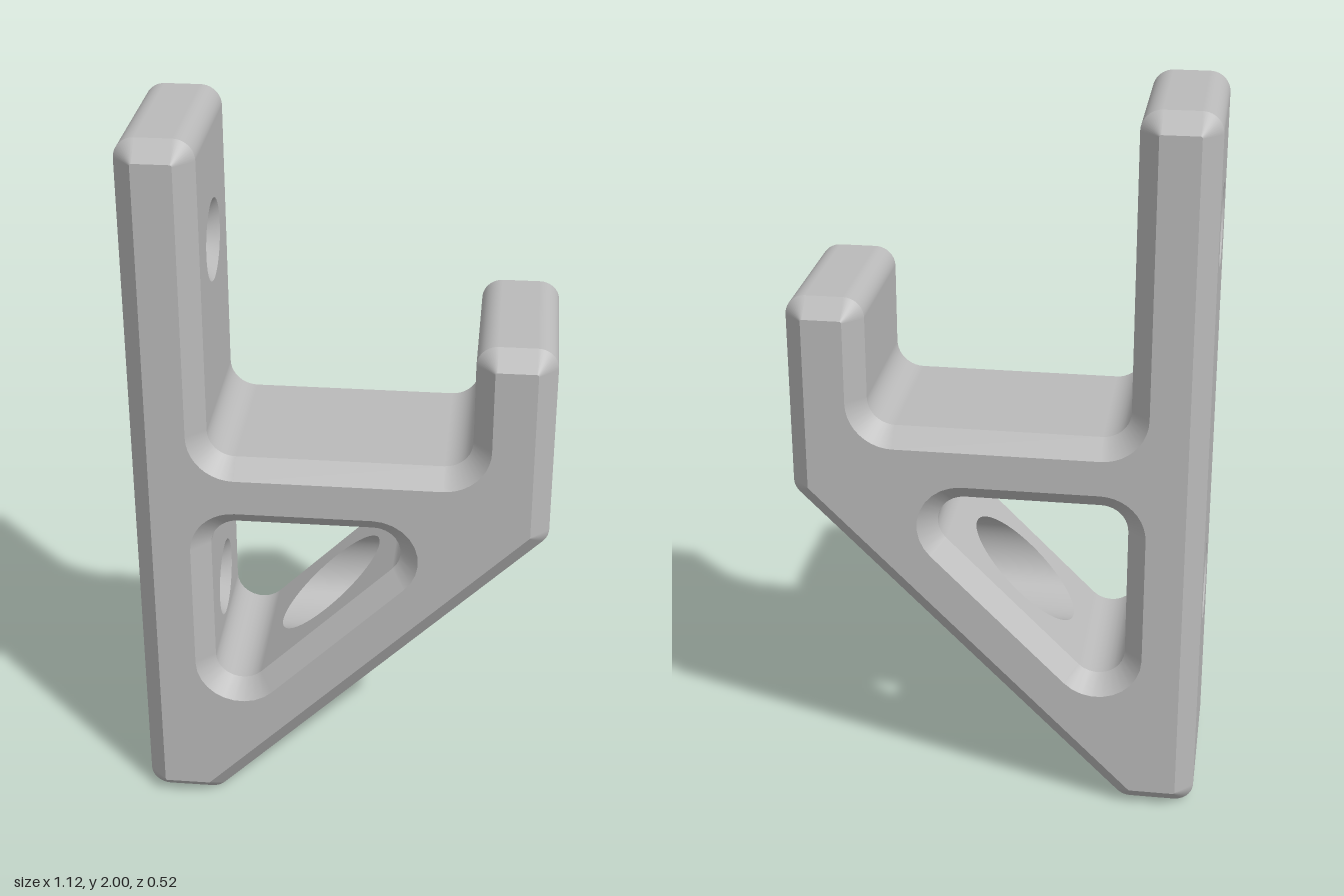
import * as THREE from 'three';

const W = 0.21;          // half width of the straight walls
const C = 0.05;          // edge chamfer
const ARC = 10, ROUND = 48;
const Z = new THREE.Vector3(0, 0, 1);

// Corners as [x, y, fillet radius]; material lies to the left of the direction of travel
const OUTLINE = [
  [-0.56, 0, 0.055], [-0.36, 0, 0.055], [0.56, 0.92, 0.055], [0.56, 1.475, 0.055], [0.35, 1.475, 0.055],
  [0.35, 1.12, 0.075], [-0.355, 1.12, 0.075], [-0.355, 2, 0.055], [-0.56, 2, 0.055],
];
const WINDOW = [[-0.355, 0.295, 0.075], [-0.355, 0.92, 0.075], [0.27, 0.92, 0.075]];

// Rounded contour: points with outward normals; the last point of each corner starts a straight wall
function contour(corners) {
  const v = corners.map(c => new THREE.Vector2(c[0], c[1]));
  const pts = [];
  v.forEach((p, i) => {
    const k = v.length;
    const d0 = p.clone().sub(v[(i + k - 1) % k]).normalize();
    const d1 = v[(i + 1) % k].clone().sub(p).normalize();
    const turn = Math.atan2(d0.cross(d1), d0.dot(d1));
    const r = corners[i][2] * Math.sign(turn);
    const n0 = new THREE.Vector2(d0.y, -d0.x);
    const centre = p.clone().addScaledVector(d0, -Math.abs(r * Math.tan(turn / 2))).addScaledVector(n0, -r);
    for (let j = 0; j <= ARC; j++) {
      const n = n0.clone().rotateAround(new THREE.Vector2(), turn * j / ARC);
      pts.push({ p: centre.clone().addScaledVector(n, r), n, corner: j === ARC ? i : -1 });
    }
  });
  return pts;
}

// Closed band between two rings of [position, normal]
function band(low, high, skip = () => false) {
  const n = low.length, index = [];
  const rows = [...low, ...high];
  for (let i = 0; i < n; i++) {
    if (skip(i)) continue;
    const j = (i + 1) % n;
    index.push(i, j, n + j, i, n + j, n + i);
  }
  const g = new THREE.BufferGeometry();
  g.setAttribute('position', new THREE.Float32BufferAttribute(rows.flatMap(r => r[0]), 3));
  g.setAttribute('normal', new THREE.Float32BufferAttribute(rows.flatMap(r => r[1]), 3));
  g.setIndex(index);
  return g;
}

// Ring of a contour at depth z, inset by d, with normal tilt nz
const ring = (pts, z, d, nz) => pts.map(({ p, n }) => {
  const l = Math.hypot(1, nz);
  return [[p.x - n.x * d, p.y - n.y * d, z], [n.x / l, n.y / l, nz / l]];
});

// Ring of a bore along x, facing its axis
const boreRing = (y, r, xAt, nx = 0) => Array.from({ length: ROUND }, (_, i) => {
  const a = i / ROUND * Math.PI * 2, c = Math.cos(a), s = -Math.sin(a), l = Math.hypot(1, nx);
  return [[xAt(y + r * c), y + r * c, r * s], [nx / l, -c / l, -s / l]];
});

// Flat wall from a to b, pierced by bores [y, radius] running along x
function panel(a, b, bores) {
  const d = b.clone().sub(a), len = d.length();
  const shape = new THREE.Shape([[0, -W], [len, -W], [len, W], [0, W]].map(q => new THREE.Vector2(...q)));
  for (const [y, r] of bores) {
    const scale = len / d.y;
    shape.holes.push(new THREE.Path(Array.from({ length: ROUND }, (_, i) => {
      const t = i / ROUND * Math.PI * 2;
      return new THREE.Vector2((y + r * Math.cos(t) - a.y) * scale, -r * Math.sin(t));
    })));
  }
  const dir = new THREE.Vector3(d.x / len, d.y / len, 0);
  const m = new THREE.Matrix4().makeBasis(dir, Z, dir.clone().cross(Z)).setPosition(a.x, a.y, 0);
  return new THREE.ShapeGeometry(shape).applyMatrix4(m);
}

export function createModel() {
  const group = new THREE.Group();
  const grey = new THREE.MeshStandardMaterial({ color: 0xbababa });
  grey.name = 'light grey';
  const add = (name, geometry) => {
    const mesh = new THREE.Mesh(geometry, grey);
    mesh.name = name;
    group.add(mesh);
    return mesh;
  };

  const outer = contour(OUTLINE), inner = contour(WINDOW);

  // Front and back faces with the triangular window
  const inset = pts => pts.map(({ p, n }) => p.clone().addScaledVector(n, -C));
  const face = new THREE.Shape(inset(outer));
  face.holes.push(new THREE.Path(inset(inner)));
  const front = new THREE.ShapeGeometry(face);
  const back = front.clone().rotateY(Math.PI).scale(-1, 1, 1);
  // Mirrored copy keeps its outline; the flipped winding faces -z
  back.copy(front);
  back.setIndex(Array.from(front.index.array).reverse());
  back.computeVertexNormals();
  add('frontFace', front).position.z = W + C;
  add('backFace', back).position.z = -W - C;

  // Walls and chamfers; walls crossed by bores become pierced panels
  const SCREW = 0.075, SINK = 0.11, ACCESS = 0.14, LOW = 0.6, HIGH = 1.65;
  const parts = [
    ['outer', outer, { 1: [[LOW, ACCESS]], 6: [[HIGH, SINK]], 8: [[LOW, SINK], [HIGH, SINK]] }],
    ['window', inner, { 0: [[LOW, SINK]], 2: [[LOW, ACCESS]] }],
  ];
  for (const [name, pts, bores] of parts) {
    add(name + 'Wall', band(ring(pts, -W, 0, 0), ring(pts, W, 0, 0), i => pts[i].corner in bores));
    add(name + 'FrontChamfer', band(ring(pts, W, 0, 1), ring(pts, W + C, C, 1)));
    add(name + 'BackChamfer', band(ring(pts, -W - C, C, -1), ring(pts, -W, 0, -1)));
    pts.forEach((q, i) => {
      if (q.corner in bores) add(name + 'PiercedWall', panel(q.p, pts[(i + 1) % pts.length].p, bores[q.corner]));
    });
  }

  // Screw holes, countersunk at both ends
  const x0 = -0.56, x1 = -0.355, s = SINK - SCREW;
  for (const y of [LOW, HIGH]) {
    const at = (r, x, nx) => boreRing(y, r, () => x, nx);
    add('screwHole', band(at(SCREW, x0 + s), at(SCREW, x1 - s)));
    add('rearCountersink', band(at(SINK, x0, -1), at(SCREW, x0 + s, -1)));
    add('innerCountersink', band(at(SCREW, x1 - s, 1), at(SINK, x1, 1)));
  }

  // Screwdriver access bore through the diagonal brace
  add('accessBore', band(boreRing(LOW, ACCESS, y => y - 0.65), boreRing(LOW, ACCESS, y => y - 0.36)));

  return group;
}
